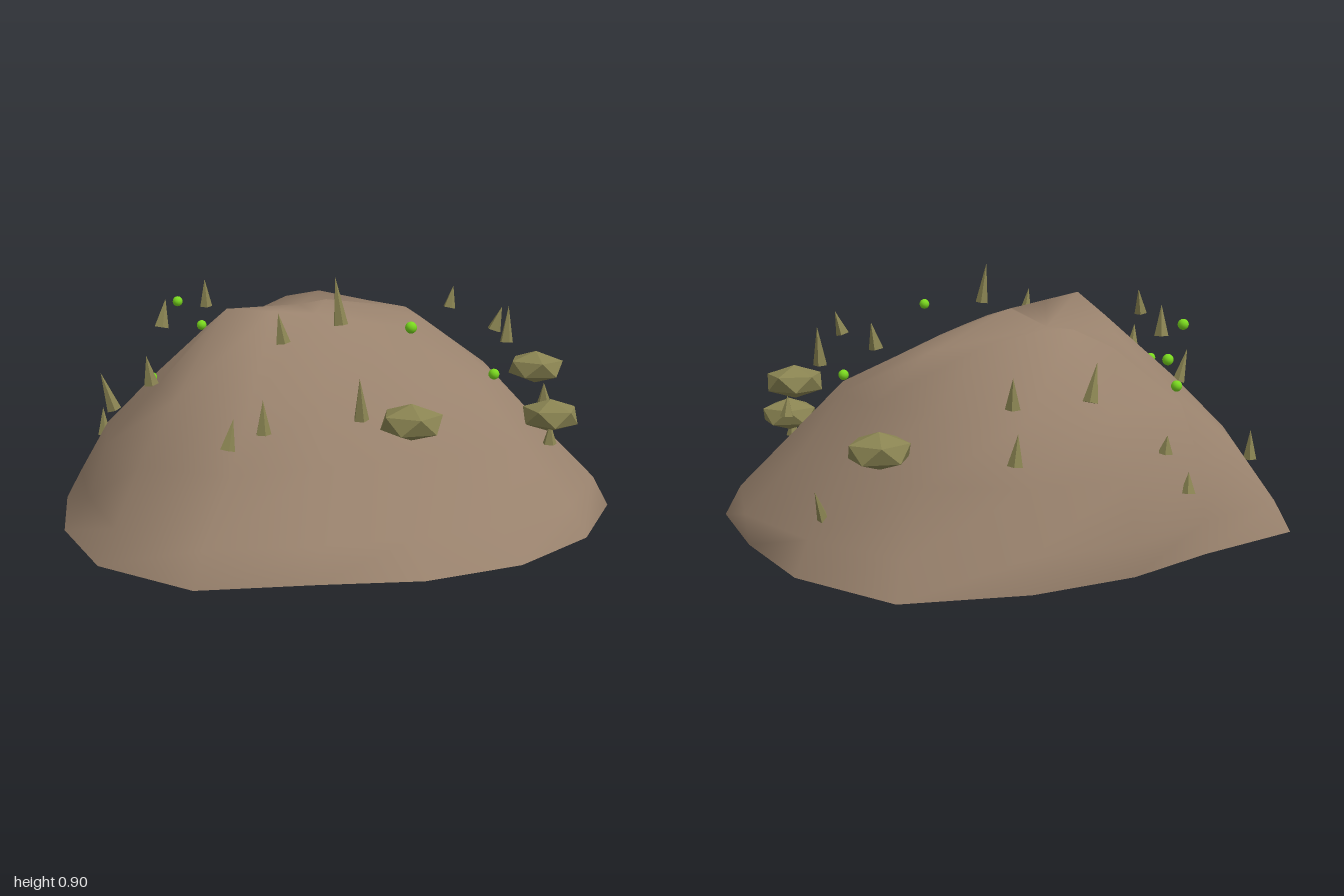
import * as THREE from 'three';

const SIDES = 16;

// Hill cross-sections: radius every 22.5 degrees, from +x towards +z
const RINGS = [
  { y: 0, r: [0.99, 1.05, 0.98, 0.92, 0.87, 0.85, 0.99, 1.02, 1.0, 1.02, 1.07, 0.88, 0.89, 0.95, 1.07, 1.03] },
  { y: 0.11, r: [1.0, 0.99, 0.92, 0.82, 0.78, 0.81, 0.93, 0.95, 0.91, 0.96, 1.01, 0.87, 0.9, 0.93, 1.0, 0.97] },
  { y: 0.3, r: [0.8, 0.8, 0.75, 0.61, 0.55, 0.59, 0.76, 0.85, 0.84, 0.85, 0.87, 0.85, 0.83, 0.84, 0.85, 0.81] },
  { y: 0.5, r: [0.64, 0.6, 0.57, 0.49, 0.46, 0.49, 0.62, 0.7, 0.65, 0.65, 0.62, 0.77, 0.75, 0.78, 0.74, 0.7] },
].map(({ y, r }) => r.map((radius, i) => {
  const a = (i / SIDES) * Math.PI * 2;
  return [Math.cos(a) * radius, y, Math.sin(a) * radius];
}));

// Uneven rim of the top, in the same order
const RIM = [
  [0.45, 0.665, -0.2], [0.35, 0.66, -0.04], [0.23, 0.675, 0.06], [0.1, 0.7, 0.12],
  [0, 0.725, 0.14], [-0.11, 0.748, 0.14], [-0.28, 0.768, 0.18], [-0.45, 0.79, 0.21],
  [-0.48, 0.71, 0.05], [-0.4, 0.66, -0.15], [-0.32, 0.6, -0.33], [-0.16, 0.67, -0.5],
  [-0.03, 0.735, -0.45], [0.13, 0.745, -0.5], [0.33, 0.7, -0.47], [0.46, 0.68, -0.36],
];
const SUMMIT = [0, 0.77, -0.05];
const HOLLOW = [-0.03, 0.725, -0.27];

function meshGeometry(points, index) {
  const g = new THREE.BufferGeometry();
  g.setAttribute('position', new THREE.Float32BufferAttribute(points.flat(), 3));
  g.setIndex(index);
  g.computeVertexNormals();
  return g;
}

// Smooth slopes; the top fans to a front summit and a hollow behind it
function hillGeometry() {
  const rings = [...RINGS, RIM];
  const points = [...rings.flat(), SUMMIT, HOLLOW], index = [];
  const summit = points.length - 2, hollow = summit + 1;
  const rim = RINGS.length * SIDES;
  for (let k = 0; k < rings.length; k++) {
    for (let i = 0; i < SIDES; i++) {
      const a = k * SIDES + i, b = k * SIDES + ((i + 1) % SIDES);
      if (k < RINGS.length) index.push(a, a + SIDES, b, b, a + SIDES, b + SIDES);
      else index.push(a, i < 5 || i === 15 ? summit : hollow, b);
    }
  }
  index.push(rim + 5, summit, hollow, hollow, summit, rim + 15);
  return meshGeometry(points, index);
}

// Flat underside
function baseGeometry() {
  const index = [];
  for (let i = 0; i < SIDES; i++) index.push(0, i + 1, ((i + 1) % SIDES) + 1);
  return meshGeometry([[0, 0, 0], ...RINGS[0]], index);
}

export function createModel() {
  const earth = new THREE.MeshStandardMaterial({ color: 0x99826d });
  earth.name = 'earth brown';
  const olive = new THREE.MeshStandardMaterial({ color: 0x8a8452, flatShading: true });
  olive.name = 'olive';
  const green = new THREE.MeshStandardMaterial({ color: 0x7ad91f });
  green.name = 'bright green';

  const model = new THREE.Group();
  model.name = 'hill';
  const add = (name, geometry, material, x = 0, y = 0, z = 0) => {
    const m = new THREE.Mesh(geometry, material);
    m.name = name;
    m.position.set(x, y, z);
    model.add(m);
    return m;
  };

  add('hillSlopes', hillGeometry(), earth);
  add('hillBase', baseGeometry(), earth);

  // Flattened five-sided boulders: x, y, z, turn
  const boulder = new THREE.IcosahedronGeometry(0.112, 0).rotateZ(0.5536).scale(1, 0.54, 1);
  [
    [0.035, 0.46, 0.665, 0.2], [0.715, 0.365, 0.385, 0.6],
    [0.74, 0.515, 0.225, 1.3], [0.7, 0.405, -0.5, 1.9],
  ].forEach(([x, y, z, turn]) => {
    add('boulder', boulder, olive, x, y, z).rotation.y = turn;
  });

  // Pointed grass tufts: x, y, z, height, lean about z
  const tuft = new THREE.ConeGeometry(0.026, 1, 5);
  [
    [-0.12, 0.825, 0.4, 0.16, 0.08], [-0.32, 0.745, 0.4, 0.1, 0.15],
    [-0.12, 0.535, 0.61, 0.14, 0.08], [-0.53, 0.435, 0.53, 0.1, -0.25],
    [-0.43, 0.49, 0.56, 0.11, 0], [-0.72, 0.595, 0.2, 0.1, 0.15],
    [-0.63, 0.76, 0.03, 0.1, -0.2], [-0.83, 0.49, 0, 0.14, 0.3],
    [0.55, 0.715, 0.27, 0.09, -0.3], [0.69, 0.66, 0.09, 0.14, -0.1],
    [0.61, 0.73, -0.24, 0.09, -0.2], [-0.35, 0.755, -0.51, 0.11, 0.05],
    [0.85, 0.2, -0.36, 0.13, -0.3], [-0.775, 0.265, -0.5, 0.11, 0],
    [0.05, 0.6, -0.71, 0.13, 0.25], [0.32, 0.58, -0.67, 0.1, -0.05],
    [0.35, 0.42, -0.75, 0.1, 0.1], [-0.25, 0.26, -0.82, 0.07, 0.1],
    [-0.18, 0.39, -0.79, 0.06, 0.05], [0.69, 0.31, 0.43, 0.08, 0],
    [0.76, 0.42, 0.26, 0.08, 0.1],
  ].forEach(([x, y, z, height, lean], i) => {
    const m = add('grassTuft', tuft, olive, x, y, z);
    m.scale.y = height;
    m.rotation.set(((i % 3) - 1) * 0.1, 0, lean);
  });

  // Small round berries
  const berry = new THREE.SphereGeometry(0.02, 12, 8);
  [
    [-0.675, 0.53, 0.01], [0.1, 0.74, 0.505], [0.53, 0.513, 0.29],
    [-0.36, 0.62, -0.54], [-0.43, 0.515, -0.5], [-0.47, 0.73, -0.475],
  ].forEach((p) => add('berry', berry, green, ...p));

  return model;
}
